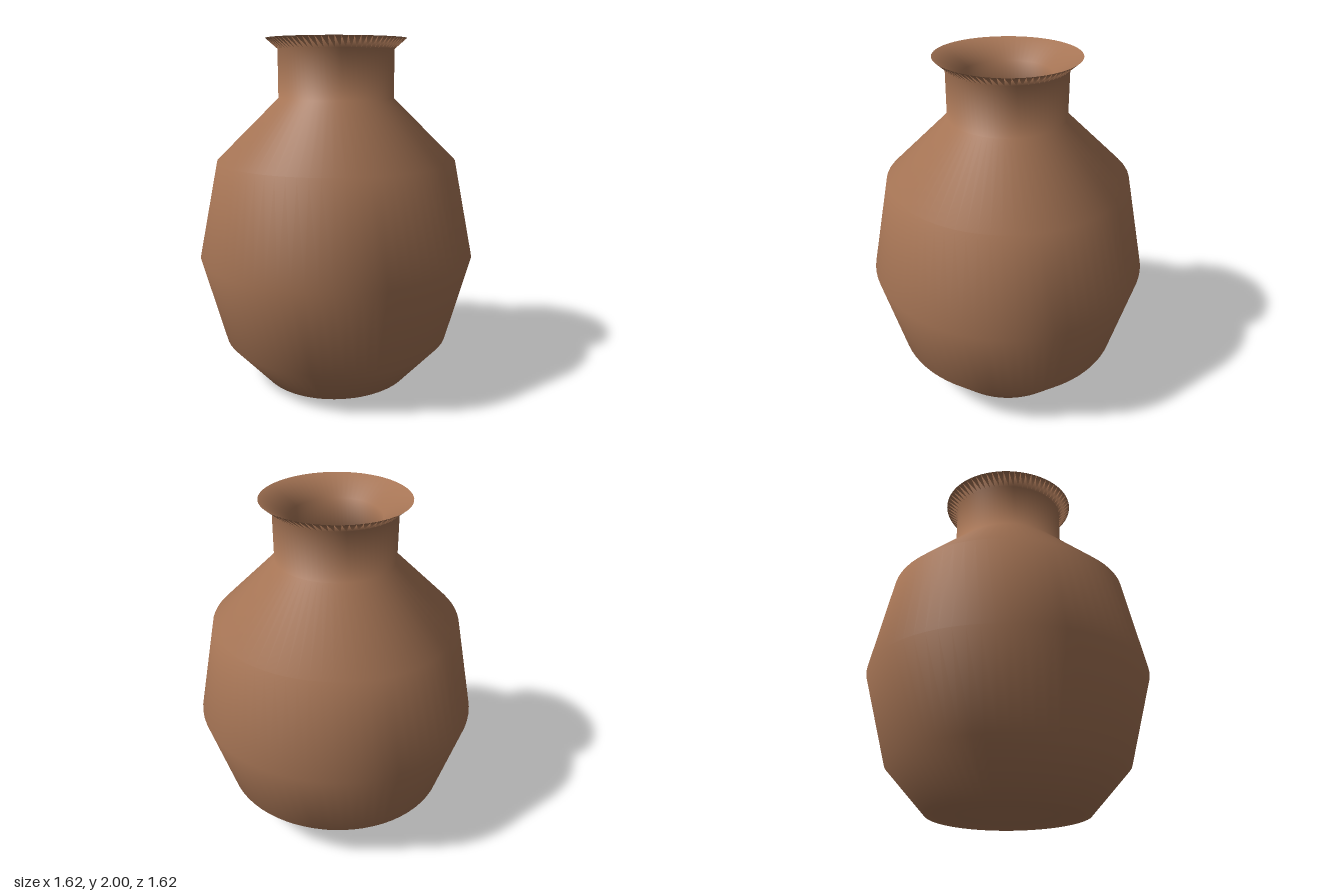
import * as THREE from 'three';
import { mergeVertices } from 'three/addons/utils/BufferGeometryUtils.js';

export function createModel() {
  const group = new THREE.Group();
  group.name = 'clayJar';
  const clay = new THREE.MeshStandardMaterial({ color: 0xa87656 });
  clay.name = 'clay';

  // Profile: recessed underside, outer wall, flared rim, then the inside down to the floor
  const profile = [
    [0, 0.1], [0.25, 0.1], [0.26, 0],
    [0.45, 0], [0.675, 0.25], [0.81, 0.75], [0.695, 1.31], [0.334, 1.665], [0.334, 1.94], [0.403, 2],
    [0.25, 1.9], [0.25, 1.66], [0.61, 1.28], [0.72, 0.75], [0.59, 0.3], [0.4, 0.15], [0, 0.15],
  ].map(([x, y]) => new THREE.Vector2(x, y));
  const lathe = new THREE.LatheGeometry(profile, 72);

  // Slightly uneven, hand-thrown roundness
  const p = lathe.attributes.position;
  for (let i = 0; i < p.count; i++) {
    const x = p.getX(i), z = p.getZ(i);
    const a = Math.atan2(z, x) - Math.PI * 1.25;
    const k = 1 + 0.01 * (Math.cos(a) + Math.cos(3 * a));
    p.setX(i, x * k);
    p.setZ(i, z * k);
  }

  // Weld the seam and the centres so the whole surface shades smoothly
  lathe.deleteAttribute('normal');
  lathe.deleteAttribute('uv');
  const geometry = mergeVertices(lathe, 1e-4);
  geometry.computeVertexNormals();

  const jar = new THREE.Mesh(geometry, clay);
  jar.name = 'jarBody';
  group.add(jar);
  return group;
}
